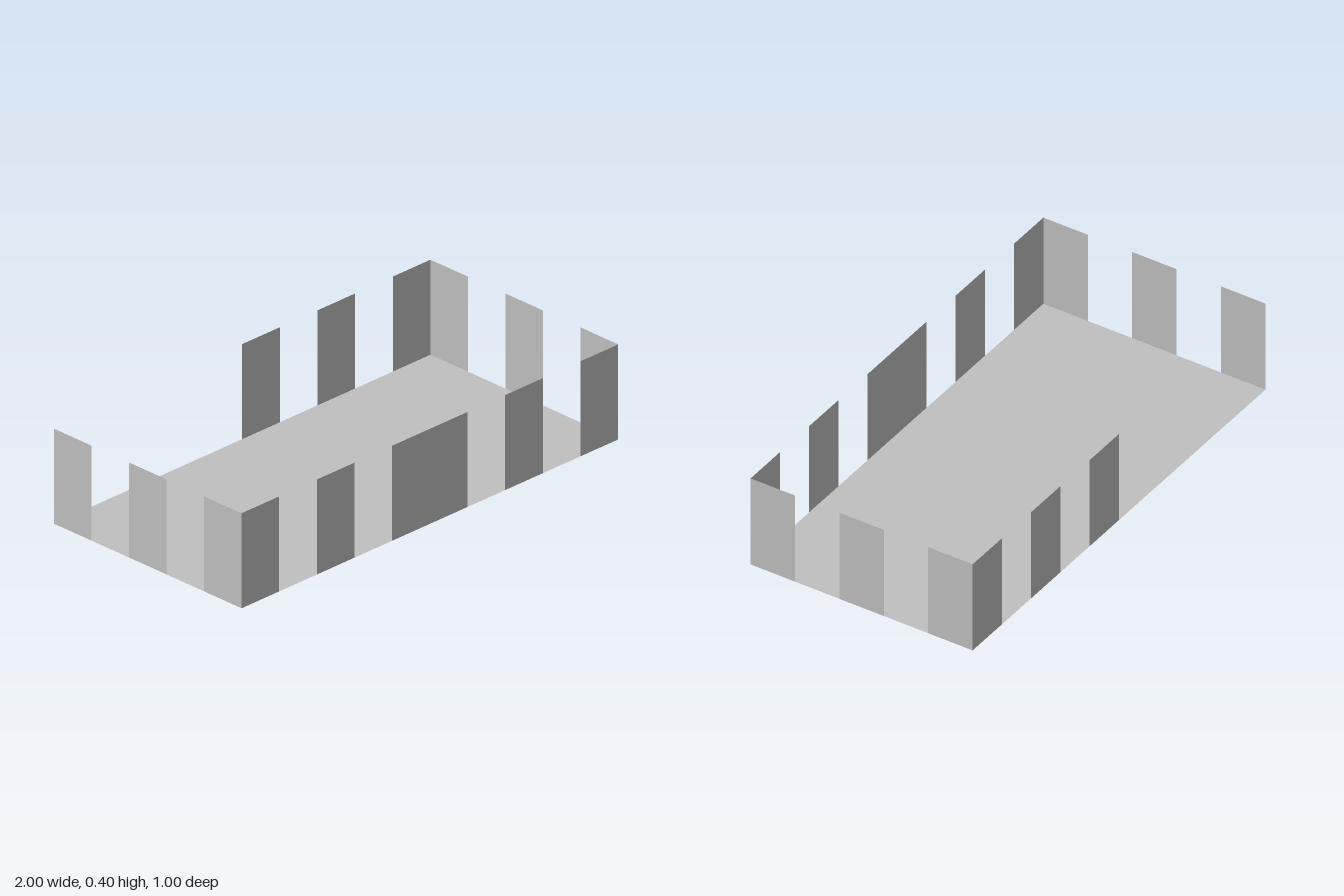
import * as THREE from 'three';

const W = 2, D = 1, H = 0.4;

export function createModel() {
  const model = new THREE.Group();
  model.name = 'walledPlatform';
  const grey = new THREE.MeshStandardMaterial({ color: 0xc0c0c0, side: THREE.DoubleSide });
  grey.name = 'light grey';

  // Floor sheet
  const floor = new THREE.Mesh(new THREE.PlaneGeometry(W, D).rotateX(-Math.PI / 2), grey);
  floor.name = 'floor';
  model.add(floor);

  // A wall is a row of upright sheets, each spanning [from, to] along the wall
  function addWall(name, spans, place) {
    const wall = new THREE.Group();
    wall.name = name;
    spans.forEach(([from, to], i) => {
      const panel = new THREE.Mesh(new THREE.PlaneGeometry(to - from, H), grey);
      panel.name = `${name}Panel${i + 1}`;
      panel.position.set((from + to) / 2, H / 2, 0);
      wall.add(panel);
    });
    place(wall);
    model.add(wall);
  }

  // Long walls: the back one is open on the right half
  const frontSpans = [[-1, -0.8], [-0.6, -0.4], [-0.2, 0.2], [0.4, 0.6], [0.8, 1]];
  const backSpans = [[0, 0.2], [0.4, 0.6], [0.8, 1]];
  addWall('frontWall', frontSpans, (w) => { w.position.z = D / 2; });
  addWall('backWall', backSpans, (w) => { w.position.z = -D / 2; });

  // End walls
  const endSpans = [[-0.5, -0.3], [-0.1, 0.1], [0.3, 0.5]];
  for (const side of [-1, 1]) {
    addWall(side > 0 ? 'leftWall' : 'rightWall', endSpans, (w) => {
      w.position.x = side * W / 2;
      w.rotation.y = side * Math.PI / 2;
    });
  }
  return model;
}
